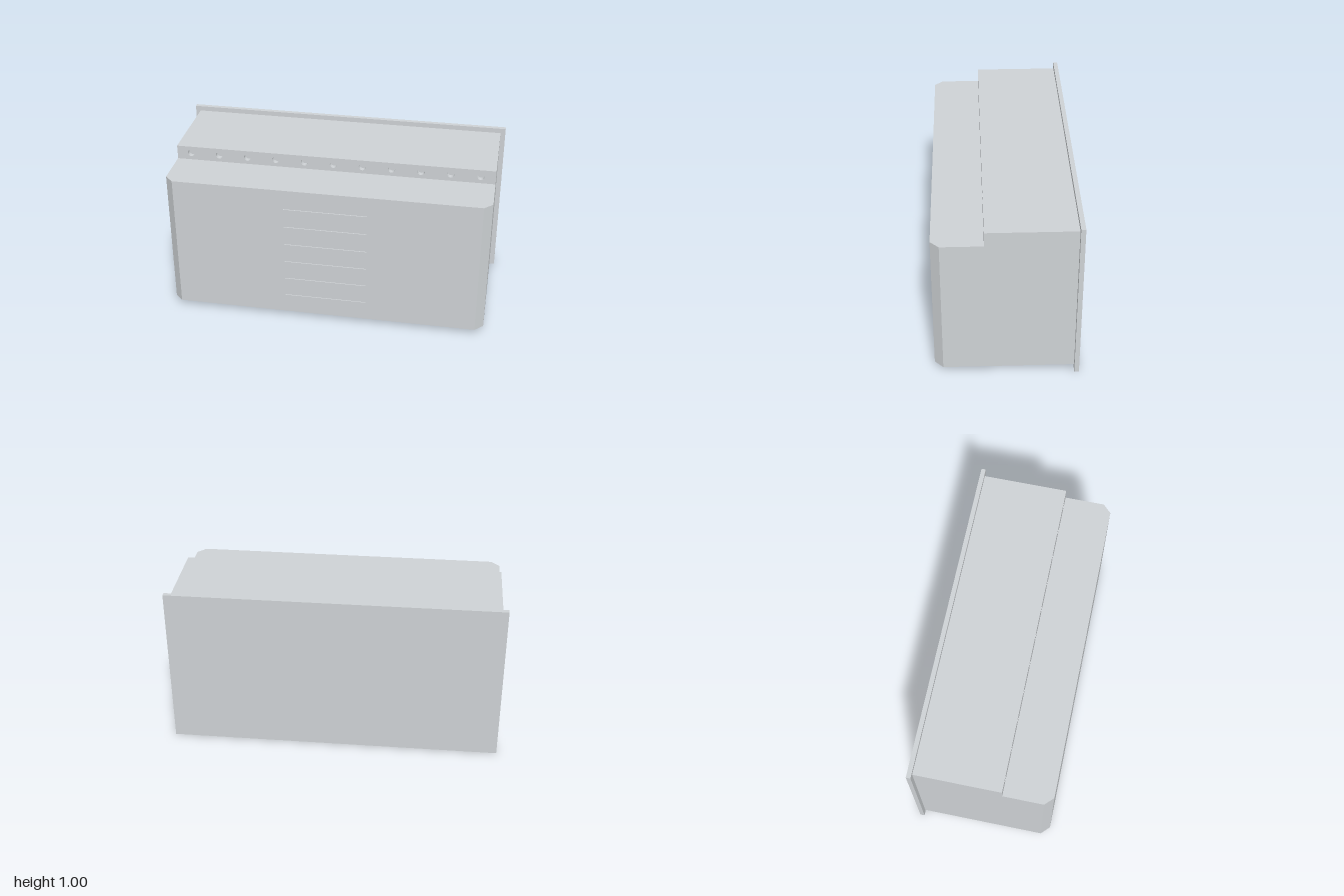
import * as THREE from 'three';

const steel = new THREE.MeshStandardMaterial({ color: 0xced2d5 });
steel.name = 'lightGreySteel';

// Overall dimensions
const HALF_W = 0.97, FRONT_HALF_W = 0.92;
const BOTTOM = 0.031, STEP_Y = 0.884, TOP = 0.97;
const BACK = -0.39, STEP_Z = 0.125, CHAMFER_Z = 0.367, FRONT = 0.417;
const SLIT_DEPTH = 0.01, HOLE_DEPTH = 0.03;

function addMesh(group, name, geometry) {
  const mesh = new THREE.Mesh(geometry, steel);
  mesh.name = name;
  group.add(mesh);
  return mesh;
}

function addBox(group, name, x0, x1, y0, y1, z0, z1) {
  const mesh = addMesh(group, name, new THREE.BoxGeometry(x1 - x0, y1 - y0, z1 - z0));
  mesh.position.set((x0 + x1) / 2, (y0 + y1) / 2, (z0 + z1) / 2);
}

function rectPoints(x0, x1, y0, y1) {
  return [[x0, y0], [x1, y0], [x1, y1], [x0, y1]].map(([x, y]) => new THREE.Vector2(x, y));
}

// Front-facing plate with cut-outs, its outer face at zFront
function addPlate(group, name, outline, holes, zFront, depth) {
  const shape = new THREE.Shape(outline);
  shape.holes.push(...holes);
  const geometry = new THREE.ExtrudeGeometry(shape, { depth, bevelEnabled: false, curveSegments: 8 });
  addMesh(group, name, geometry).position.z = zFront - depth;
}

export function createModel() {
  const model = new THREE.Group();
  model.name = 'wallCabinet';

  // Back mounting flange
  addBox(model, 'backFlange', -1, 1, 0, 1, -FRONT, BACK);

  // Lower body with chamfered front corners, notched for the front panel
  const right = [
    [HALF_W, BACK], [HALF_W, CHAMFER_Z], [FRONT_HALF_W, FRONT], [FRONT_HALF_W, FRONT - SLIT_DEPTH],
  ];
  const left = right.map(([x, z]) => [-x, z]).reverse();
  const plan = new THREE.Shape([...right, ...left].map(([x, z]) => new THREE.Vector2(x, -z)));
  const body = new THREE.ExtrudeGeometry(plan, { depth: STEP_Y - BOTTOM, bevelEnabled: false });
  body.rotateX(-Math.PI / 2);
  addMesh(model, 'lowerBody', body).position.y = BOTTOM;

  // Front panel with six hairline vent slits
  const slits = [];
  for (let i = 0; i < 6; i++) {
    const y = 0.15 + i * 0.1213;
    slits.push(new THREE.Path(rectPoints(-0.25, 0.25, y, y + 0.004)));
  }
  addPlate(model, 'ventPanel', rectPoints(-FRONT_HALF_W, FRONT_HALF_W, BOTTOM, STEP_Y),
    slits, FRONT, SLIT_DEPTH);

  // Raised rear section
  addBox(model, 'upperBody', -HALF_W, HALF_W, STEP_Y, TOP, BACK, STEP_Z - HOLE_DEPTH);

  // Upper strip with a row of eleven round holes
  const holes = [];
  for (let i = 0; i < 11; i++) {
    holes.push(new THREE.Path().absarc((i - 5) * 0.1764, 0.927, 0.022, 0, Math.PI * 2));
  }
  addPlate(model, 'holeStrip', rectPoints(-HALF_W, HALF_W, STEP_Y, TOP), holes, STEP_Z, HOLE_DEPTH);

  return model;
}
